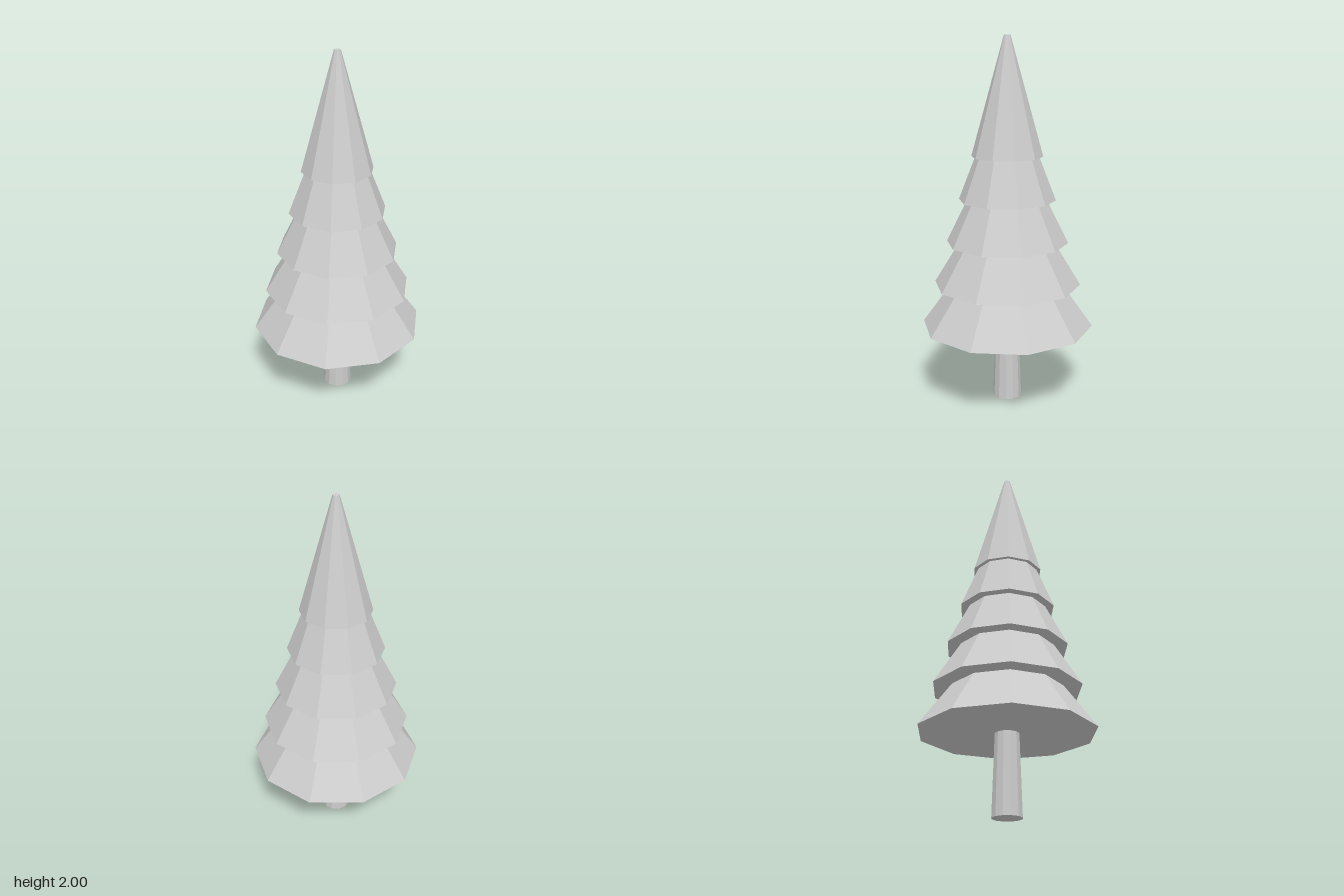
import * as THREE from 'three';

export function createModel() {
  const model = new THREE.Group();
  model.name = 'pineTree';
  const grey = new THREE.MeshStandardMaterial({ name: 'lightGrey', color: 0xcccccc, flatShading: true });

  // Frustum standing on a given height
  function addFrustum(name, topRadius, bottomRadius, base, height, sides) {
    const geometry = new THREE.CylinderGeometry(topRadius, bottomRadius, height, sides);
    const mesh = new THREE.Mesh(geometry, grey);
    mesh.name = name;
    mesh.position.y = base + height / 2;
    model.add(mesh);
  }

  // Slightly tapered trunk
  addFrustum('trunk', 0.065, 0.08, 0, 0.44, 12);

  // Five overlapping ten-sided foliage tiers, each narrower than the one below
  for (let i = 0; i < 5; i++) {
    addFrustum(`foliageTier${i + 1}`, 0.0175, 0.473 - 0.07 * i, 0.43 + 0.235 * i, 0.63, 10);
  }
  return model;
}
